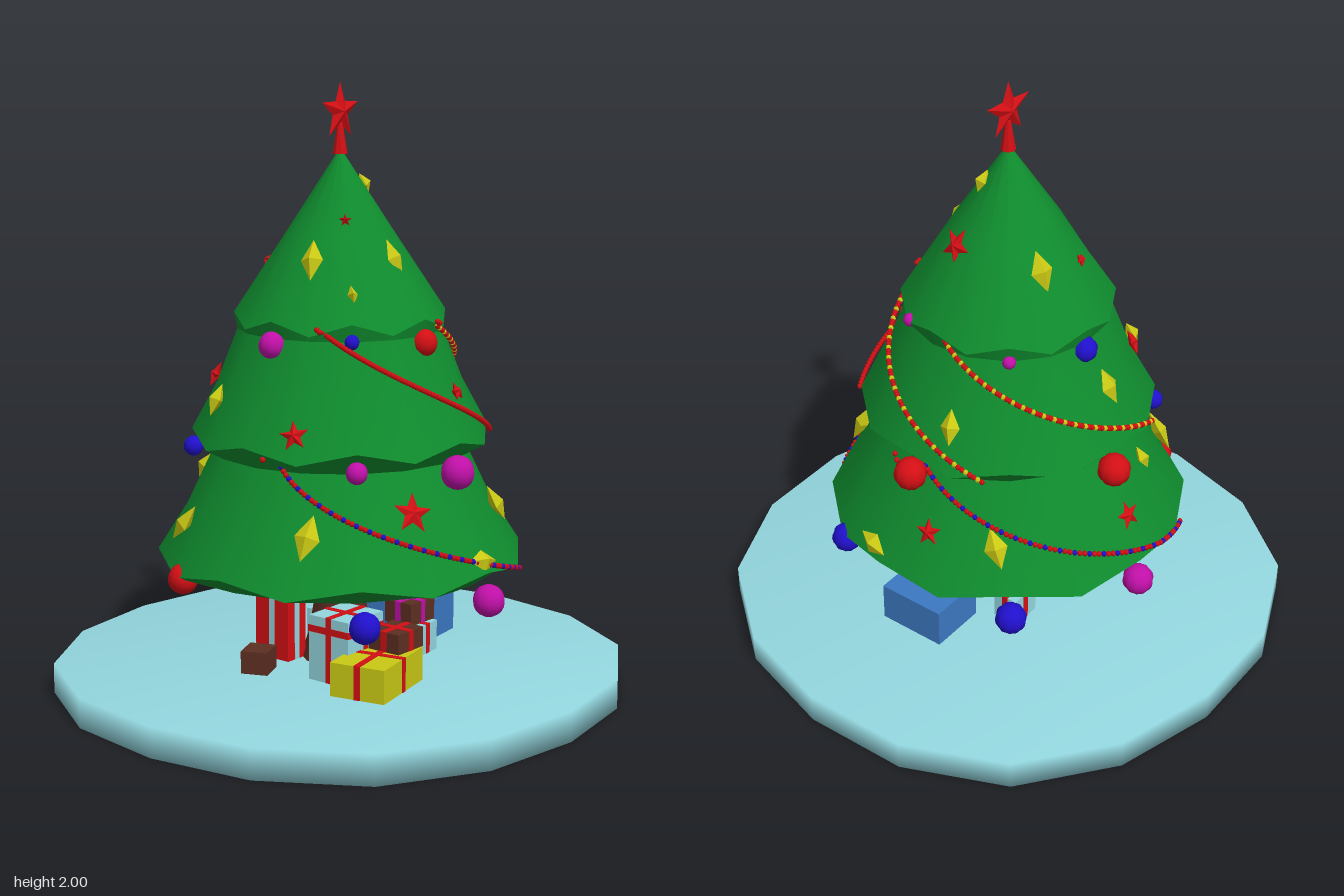
import * as THREE from 'three';
import { mergeGeometries, mergeVertices } from 'three/addons/utils/BufferGeometryUtils.js';

const mat = (name, color, flatShading = false) => {
  const m = new THREE.MeshStandardMaterial({ color });
  m.name = name;
  m.flatShading = flatShading;
  return m;
};

// Tier outlines as [bottom radius, bottom y, top radius, top y]
const TIERS = [[0.6, 0.465, 0.42, 0.81], [0.485, 0.865, 0.335, 1.21], [0.345, 1.245, 0, 1.79]];

// Tree radius at a height
function treeRadius(y) {
  const [r0, y0, r1, y1] = TIERS[y > 1.24 ? 2 : y > 0.84 ? 1 : 0];
  return r0 + (r1 - r0) * (y - y0) / (y1 - y0);
}

// Five-pointed star with a raised middle on both sides
function starGeometry(R, depth) {
  const rim = i => {
    const a = i * Math.PI / 5, r = i % 2 ? R * 0.42 : R;
    return [r * Math.sin(a), r * Math.cos(a), 0];
  };
  const pos = [];
  for (let i = 0; i < 10; i++) {
    pos.push(0, 0, depth, ...rim(i + 1), ...rim(i));
    pos.push(0, 0, -depth, ...rim(i), ...rim(i + 1));
  }
  const g = new THREE.BufferGeometry();
  g.setAttribute('position', new THREE.Float32BufferAttribute(pos, 3));
  g.computeVertexNormals();
  return g;
}

// Ball with pinched lengthwise grooves
function ballGeometry(r) {
  const g = new THREE.SphereGeometry(r, 20, 10), p = g.attributes.position;
  for (let i = 0; i < p.count; i++) {
    const k = (i % 21) % 2 ? 0.92 : 1;
    p.setXYZ(i, p.getX(i) * k, p.getY(i), p.getZ(i) * k);
  }
  return g;
}

export function createModel() {
  const model = new THREE.Group();
  model.name = 'decoratedTree';
  const green = mat('needleGreen', 0x0f8c2e), snow = mat('paleSnowBlue', 0x93d6de);
  const red = mat('red', 0xd30f14, true), magenta = mat('magenta', 0xc010a8);
  const blue = mat('deepBlue', 0x2010cc), yellow = mat('yellow', 0xc9c814, true);
  const brown = mat('brown', 0x5c2e22), giftBlue = mat('giftBlue', 0x3b78c2);
  const redBall = red.clone();
  redBall.flatShading = false;

  const add = (name, geometry, material, parent = model) => {
    const m = new THREE.Mesh(geometry, material);
    m.name = name;
    parent.add(m);
    return m;
  };

  // Snowy base, sixteen sided and slightly squared, with soft edges
  let base = new THREE.CylinderGeometry(0.915, 0.915, 0.1, 16);
  base.deleteAttribute('uv');
  base.deleteAttribute('normal');
  base = mergeVertices(base);
  const bp = base.attributes.position;
  for (let i = 0; i < bp.count; i++) {
    const k = 1 + 0.04 * Math.sin(2 * Math.atan2(bp.getX(i), bp.getZ(i))) ** 2;
    bp.setXYZ(i, bp.getX(i) * k, bp.getY(i) + 0.05, bp.getZ(i) * k);
  }
  base.computeVertexNormals();
  add('snowBase', base, snow);

  // Trunk with a flared foot
  const trunk = [[0.135, 0.09], [0.105, 0.18], [0.085, 0.3], [0.075, 0.47]];
  add('trunk', new THREE.LatheGeometry(trunk.map(p => new THREE.Vector2(...p)), 10), brown);

  // Zigzag-hemmed revolved surface; the point at index hem gets the zigzag
  const hemmed = (points, hem, amp) => {
    const g = new THREE.LatheGeometry(points.map(p => new THREE.Vector2(...p)), 16);
    const p = g.attributes.position, n = points.length;
    for (let i = 0; i <= 16; i++) {
      const k = i * n + hem;
      p.setY(k, p.getY(k) + (i % 2 ? -amp : amp));
    }
    return g;
  };
  TIERS.forEach(([r0, y0, r1, y1], i) => {
    const tier = new THREE.Group();
    tier.name = 'branchTier' + (i + 1);
    model.add(tier);
    const mid = [(r0 + r1) / 2 + (i === 2 ? 0.005 : -0.008), (y0 + y1) / 2];
    add('needles', hemmed([[r0, y0], mid, [r1, y1]], 0, 0.02), green, tier);
    const under = i ? [[TIERS[i - 1][2], TIERS[i - 1][3]], [r0, y0]]
      : [[0.05, 0.45], [0.53, 0.43], [r0, y0]];
    add('underside', hemmed(under, under.length - 1, 0.02), green, tier);
  });

  // Tree topper
  add('topStar', starGeometry(0.095, 0.02), red).position.y = 1.905;
  add('topStarHolder', new THREE.CylinderGeometry(0.008, 0.024, 0.1, 8), red).position.y = 1.82;

  // Sets a decoration on the branches, facing outward; x and z give its bearing
  const onTree = (mesh, x, y, z, roll = 0) => {
    const a = Math.atan2(x, z), r = treeRadius(y) + 0.006;
    mesh.position.set(r * Math.sin(a), y, r * Math.cos(a));
    mesh.lookAt(mesh.position.clone().add(new THREE.Vector3(Math.sin(a), 0.48, Math.cos(a))));
    mesh.rotateZ(roll);
  };

  // Small stars: x, y, z, radius
  [[-0.19, 0.69, 0.43, 0.068], [0.07, 1.03, 0.36, 0.032], [-0.42, 0.935, 0.16, 0.05],
    [-0.24, 1.06, -0.25, 0.045], [-0.02, 0.62, -0.51, 0.05], [0.48, 0.63, -0.13, 0.047],
    [0.2, 1.49, 0.04, 0.065], [-0.1, 1.57, 0.1, 0.022], [-0.1, 1.42, -0.21, 0.022],
    [0.34, 0.825, 0.34, 0.032]
  ].forEach(([x, y, z, R], i) =>
    onTree(add('starOrnament', starGeometry(R, 0.016), red), x, y, z, (i % 3 - 1) * 0.2));

  // Diamonds: x, y, z, half height, roll
  [[0, 1.45, 0.22, 0.065], [-0.22, 1.45, 0.06, 0.068], [0.07, 1.45, -0.22, 0.068],
    [0.07, 1.67, 0.04, 0.04], [-0.19, 1.35, 0.2, 0.032], [-0.04, 1.06, -0.37, 0.065],
    [0.39, 1.0, -0.14, 0.06], [-0.37, 1.0, -0.19, 0.055], [0.39, 0.62, -0.33, 0.07, 0.3],
    [0.25, 0.64, 0.43, 0.07, 0.3], [0.56, 0.52, 0.05, 0.065, 1.4], [-0.45, 0.6, -0.27, 0.075, -0.5],
    [-0.18, 0.72, -0.43, 0.045], [-0.48, 0.63, 0.25, 0.075, -0.2], [0, 0.52, 0.57, 0.065, 1.4]
  ].forEach(([x, y, z, h, roll = 0.1]) =>
    onTree(add('diamondOrnament', new THREE.OctahedronGeometry(1).scale(h * 0.55, h, 0.026), yellow),
      x, y, z, roll));

  // Hanging balls: x, y, z, radius, colour
  [[0, 0.395, 0.6, 0.052, magenta], [0, 0.405, -0.595, 0.052, magenta],
    [-0.415, 0.37, 0.43, 0.05, blue], [0.42, 0.395, -0.425, 0.052, blue],
    [0.535, 0.42, 0.23, 0.05, blue], [-0.52, 0.435, -0.225, 0.05, redBall],
    [0, 0.79, 0.475, 0.055, magenta], [0.47, 0.79, -0.025, 0.055, redBall],
    [0, 0.79, -0.475, 0.055, redBall], [-0.335, 0.825, 0.335, 0.035, magenta],
    [-0.34, 0.825, -0.34, 0.033, blue], [0, 1.19, 0.34, 0.044, redBall],
    [-0.34, 1.19, 0, 0.044, magenta], [0, 1.19, -0.335, 0.042, blue],
    [0.31, 1.23, 0.13, 0.022, magenta], [0.24, 1.21, -0.24, 0.022, magenta],
    [-0.24, 1.21, 0.24, 0.024, blue]
  ].forEach(([x, y, z, r, m]) => add('ballOrnament', ballGeometry(r), m).position.set(x, y, z));

  // Bead garlands: start and end bearing in degrees, start and end height, sag, colours
  [[11, 125, 1.25, 0.86, 1, yellow], [98, 205, 1.24, 0.86, 0.95, yellow],
    [-63, 42, 1.25, 0.865, 0.95, redBall], [-80, 28, 0.86, 0.43, 0.7, blue],
    [88, 210, 0.86, 0.43, 0.8, blue]
  ].forEach(([a0, a1, y0, y1, sag, second]) => {
    const beads = [[], []], N = 72;
    for (let i = 0; i <= N; i++) {
      const t = i / N, a = THREE.MathUtils.degToRad(a0 + (a1 - a0) * t);
      const y = y0 + (y1 - y0) * t ** sag, r = Math.min(treeRadius(y), 0.59) + 0.008;
      beads[i % 3 === 2 ? 1 : 0].push(new THREE.SphereGeometry(0.0095, 6, 4)
        .translate(r * Math.sin(a), y, r * Math.cos(a)));
    }
    add('garlandBeads', mergeGeometries(beads[0]), redBall);
    add('garlandAccentBeads', mergeGeometries(beads[1]), second);
  });

  // Gifts: x, z, floor y, width, height, depth, turn, paper, ribbon
  [[-0.2, 0.31, 0.1, 0.28, 0.11, 0.19, 0.2, yellow, redBall],
    [0.365, 0.015, 0.1, 0.2, 0.135, 0.24, 0.13, giftBlue, giftBlue],
    [0.19, 0.17, 0.1, 0.12, 0.1, 0.1, 0.1, snow, redBall],
    [0.2, 0.14, 0.2, 0.13, 0.075, 0.11, 0, brown, magenta],
    [-0.175, 0.165, 0.1, 0.18, 0.215, 0.16, 0, snow, redBall],
    [-0.1, 0.31, 0.21, 0.13, 0.065, 0.12, 0, brown, redBall],
    [-0.13, -0.15, 0.1, 0.09, 0.27, 0.14, 0, redBall, snow],
    [0.15, -0.18, 0.1, 0.11, 0.1, 0.09, 0.1, snow, redBall],
    [-0.3, -0.1, 0.1, 0.1, 0.075, 0.09, 0.4, brown, brown]
  ].forEach(([x, z, y, w, h, d, turn, paper, ribbon]) => {
    const gift = new THREE.Group();
    gift.name = 'gift';
    gift.position.set(x, y + h / 2, z);
    gift.rotation.y = turn;
    model.add(gift);
    const e = 0.004;
    add('giftBox', new THREE.BoxGeometry(w, h, d), paper, gift);
    if (ribbon === paper) return;
    add('ribbonLengthwise', new THREE.BoxGeometry(0.022, h + e, d + e), ribbon, gift);
    add('ribbonCrosswise', new THREE.BoxGeometry(w + e, h + e, 0.022), ribbon, gift);
    if (h > 0.2) add('ribbonAround', new THREE.BoxGeometry(w + e, 0.022, d + e), ribbon, gift).position.y = h * 0.3;
  });

  return model;
}
